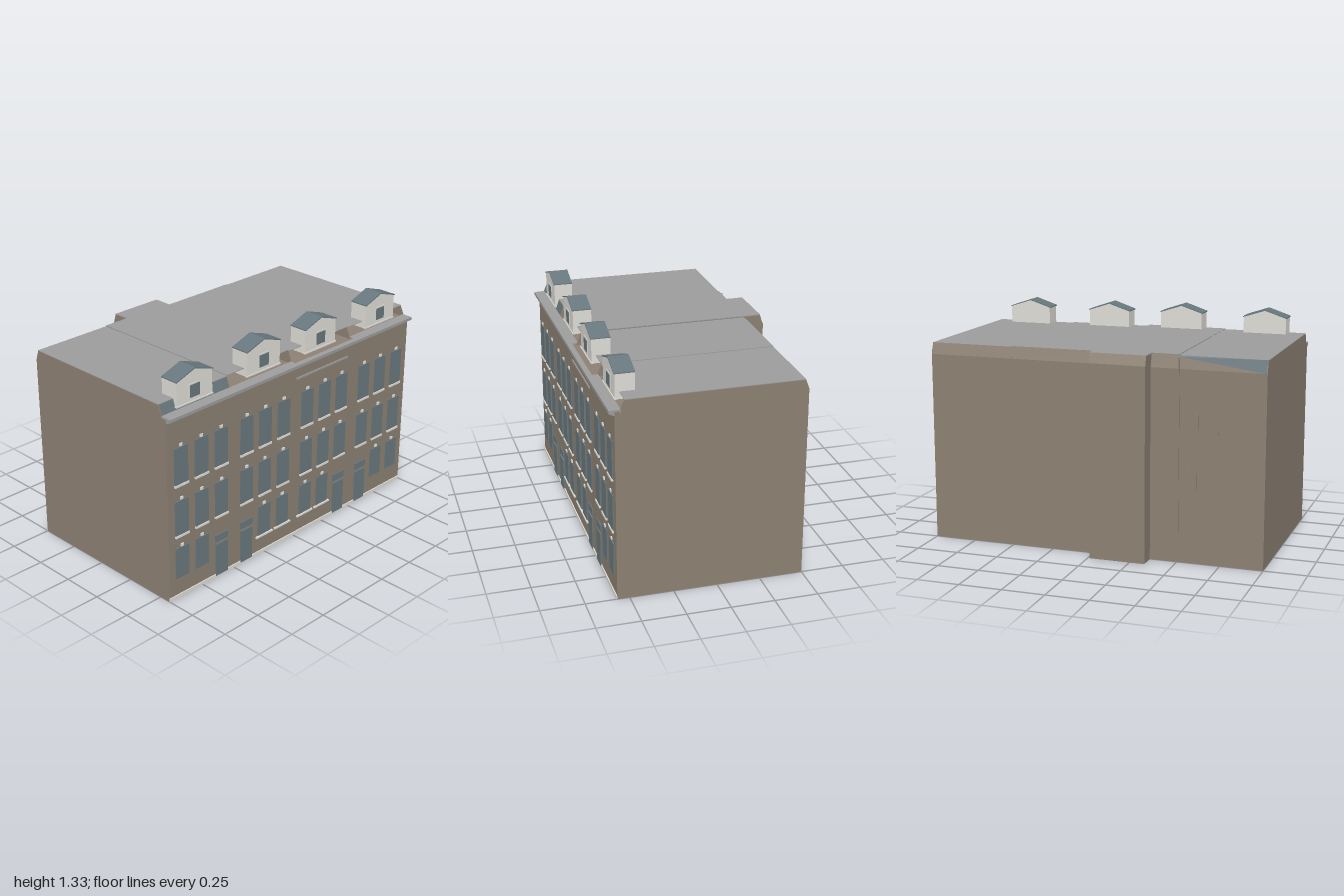
import * as THREE from 'three';

const mat = (name, color, extra = {}) => Object.assign(new THREE.MeshStandardMaterial({ color, ...extra }), { name });

export function createModel() {
  const brick = mat('brick', 0x8c8072);
  const slate = mat('slate', 0x68777d);
  const roofGrey = mat('roofGrey', 0x9c9c9c);
  const trim = mat('trim', 0xdedcd5);

  const model = new THREE.Group();
  model.name = 'terraceHouses';

  const add = (name, geo, material, parent = model) => {
    const m = new THREE.Mesh(geo, material);
    m.name = name;
    parent.add(m);
    return m;
  };
  // Box given by its limits on each axis
  const box = (name, material, [x0, x1], [y0, y1], [z0, z1], parent) => {
    const g = new THREE.BoxGeometry(x1 - x0, y1 - y0, z1 - z0);
    g.translate((x0 + x1) / 2, (y0 + y1) / 2, (z0 + z1) / 2);
    return add(name, g, material, parent);
  };
  // Flat outline of (z, y) points, extruded along x
  const slab = (name, material, pts, x0, x1) => {
    const s = new THREE.Shape(pts.map(p => new THREE.Vector2(...p)));
    const g = new THREE.ExtrudeGeometry(s, { depth: x1 - x0, bevelEnabled: false });
    g.rotateY(-Math.PI / 2).translate(x1, 0, 0);
    return add(name, g, material);
  };
  // Single face, corners counter-clockwise seen from its front
  const quad = (name, material, a, b, c, d) => {
    const g = new THREE.BufferGeometry();
    g.setAttribute('position', new THREE.Float32BufferAttribute([a, b, c, a, c, d].flat(), 3));
    g.computeVertexNormals();
    return add(name, g, material);
  };

  // Main block and rear extension
  const front = 0.57, back = -0.5, deck = 1.11;
  box('mainWalls', brick, [-1, 1], [0, deck], [back, front]);
  box('rearExtension', brick, [-0.34, -0.01], [0, 1.13], [-0.6, back]);

  // Houses: limits in x, roof height, bay centres, door bay, inner edge of cornice
  const houses = [
    { x: [-1, -0.5], h: 1.183, bays: [-0.9, -0.75, -0.6], door: 2, inner: 0.535 },
    { x: [-0.5, -0.01], h: 1.188, bays: [-0.402, -0.254, -0.102], door: 0, inner: 0.535 },
    { x: [-0.01, 0.495], h: 1.18, bays: [0.096, 0.246, 0.396], door: 2, inner: 0.57 },
    { x: [0.495, 1], h: 1.176, bays: [0.6, 0.75, 0.902], door: 0, inner: 0.535 },
  ];

  // Party walls and gable ends carrying the roof
  [[-1, 1.179], [-0.504, 1.179], [-0.014, 1.183], [0.491, 1.176], [0.996, 1.172]].forEach(([x, h]) =>
    slab('partyWall', brick,
      [[back, 1.1], [back, 1.12], [-0.48, h], [0.515, h], [0.54, 1.12], [0.57, 1.1]], x, x + 0.004));
  for (const x of [-0.34, -0.014])
    slab('extensionGable', brick, [[-0.6, 1.12], [-0.58, 1.183], [-0.47, 1.183], [-0.47, 1.12]], x, x + 0.004);

  houses.forEach(({ x: [x0, x1], h, bays, door, inner }, i) => {
    // Flat roof and cornice
    box('flatRoof', roofGrey, [x0, x1], [h - 0.004, h], [-0.48, 0.515]);
    slab('cornice', roofGrey,
      [[front - 0.02, 1.088], [front, 1.088], [0.6, 1.102], [0.6, 1.12], [inner, 1.122], [inner, 1.1]], x0, x1);

    // Windows by storey, doors with fanlights
    [[0.125, 0.315], [0.395, 0.605], [0.705, 0.925]].forEach(([y0, y1], row) => bays.forEach((cx, b) => {
      const span = [cx - 0.049, cx + 0.049];
      if (row === 0 && b === door) {
        box('door', slate, [cx - 0.046, cx + 0.046], [0.01, 0.215], [front, front + 0.008]);
        box('fanlight', slate, span, [0.23, 0.272], [front, front + 0.006]);
        return;
      }
      box('window', slate, span, [y0, y1], [front, front + 0.006]);
      box('keystone', trim, [cx - 0.01, cx + 0.01], [y1 + 0.004, y1 + 0.02], [front, front + 0.007]);
      const wide = row === 0 && (i === 1 || i === 2);
      if (row > 0 || wide) {
        const w = wide ? 0.068 : 0.05;
        box('windowSill', trim, [cx - w, cx + w], [y0 - 0.013, y0 - (wide ? 0.003 : 0)], [front, front + 0.011]);
      }
    }));
  });

  // Plinth and the string course under one cornice
  box('plinth', trim, [-1, 1], [0, 0.02], [front, front + 0.006]);
  box('stringCourse', roofGrey, [0, 0.44], [1.017, 1.028], [front, front + 0.006]);

  // Front roof slope of the first house
  quad('frontSlope', slate, [-1, 1.12, 0.535], [-0.5, 1.12, 0.535], [-0.5, 1.183, 0.513], [-1, 1.183, 0.513]);

  // Rear slopes, the first one tapering over a triangle of wall
  quad('rearSlope', slate, [-0.5, 1.175, -0.485], [-1, 1.11, -0.5], [-1, 1.183, -0.48], [-0.5, 1.183, -0.48]);
  quad('rearWallWedge', brick, [-0.5, deck, back], [-1, deck, back], [-1, deck, back], [-0.5, 1.175, -0.485]);
  const rearSlope = (x0, x1, z, y, h) =>
    quad('rearSlope', brick, [x1, y, z], [x0, y, z], [x0, h, z + 0.02], [x1, h, z + 0.02]);
  rearSlope(-0.5, -0.34, back, deck, 1.188);
  rearSlope(-0.34, -0.01, -0.6, 1.13, 1.188);
  rearSlope(-0.01, 0.495, back, deck, 1.18);
  rearSlope(0.495, 1, back, deck, 1.176);
  quad('rearSlopeLining', brick, [-0.5, deck, back], [-0.34, deck, back], [-0.34, 1.188, -0.48], [-0.5, 1.188, -0.48]);
  box('extensionRoof', roofGrey, [-0.34, -0.01], [1.184, 1.188], [-0.58, -0.48]);

  // Blocked rear windows and the rear seam
  for (const [x, w, y0, y1] of [[-0.57, 0.1, 0.7, 0.86], [-0.57, 0.08, 0.42, 0.57], [-0.72, 0.03, 0.75, 0.87]])
    box('blockedWindow', brick, [x - w / 2, x + w / 2], [y0, y1], [back - 0.004, back]);
  box('rearSeam', brick, [-0.508, -0.5], [0.15, 1.17], [back - 0.006, back]);

  // Dormers with gabled roofs
  const gable = (pts, depth) => new THREE.ExtrudeGeometry(
    new THREE.Shape(pts.map(p => new THREE.Vector2(...p))), { depth, bevelEnabled: false });
  [[-0.765, 0], [-0.24, 0.007], [0.23, 0], [0.762, 0]].forEach(([x, y]) => {
    const d = new THREE.Group();
    d.name = 'dormer';
    d.position.set(x, 1.133 + y, 0.43);
    model.add(d);
    add('dormerWalls', gable([[-0.13, 0], [0.13, 0], [0.13, 0.145], [0, 0.187], [-0.13, 0.145]], 0.11), trim, d);
    add('dormerRoof', gable(
      [[-0.134, 0.143], [0, 0.187], [0.134, 0.143], [0.134, 0.149], [0, 0.194], [-0.134, 0.149]], 0.115), slate, d);
    box('dormerFrame', trim, [-0.043, 0.043], [0.022, 0.108], [0.11, 0.113], d);
    box('dormerWindow', slate, [-0.036, 0.036], [0.029, 0.101], [0.113, 0.115], d);
    box('dormerSill', trim, [-0.134, 0.134], [0, 0.008], [0.1, 0.115], d);
  });

  return model;
}
